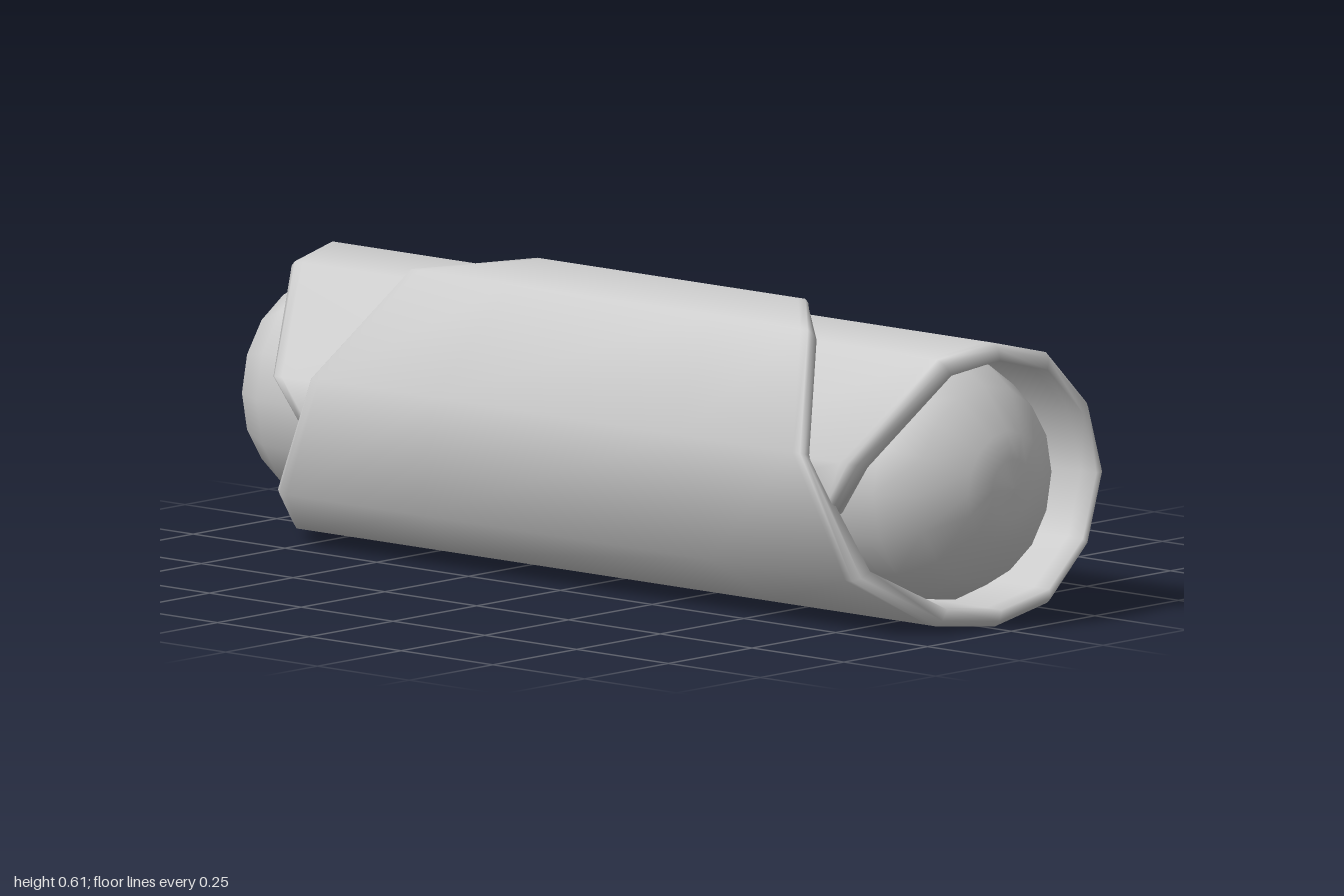
import * as THREE from 'three';

const material = new THREE.MeshStandardMaterial({ color: 0xcccccc, side: THREE.DoubleSide });

// Spiral of the rolled sheet: z, y, half width along x, thickness
const SPIRAL = [
  [0.27, 0.24, 0.71, 0.025],
  [0.29, 0.357, 0.78, 0.035],
  [0.125, 0.56, 0.875, 0.035],
  [-0.015, 0.58, 0.9, 0.033],
  [-0.155, 0.545, 0.915, 0.035],
  [-0.265, 0.43, 0.925, 0.035],
  [-0.303, 0.288, 0.93, 0.036],
  [-0.263, 0.14, 0.925, 0.035],
  [-0.16, 0.033, 0.915, 0.035],
  [-0.018, 0, 0.9, 0.036],
  [0.125, 0.015, 0.87, 0.036],
  [0.275, 0.115, 0.78, 0.033],
  [0.305, 0.367, 0.665, 0.016],
  [0.145, 0.585, 0.54, 0.022],
  [-0.04, 0.605, 0.365, 0.02],
  [-0.13, 0.578, 0.19, 0.016],
  [-0.157, 0.558, 0.03, 0.012],
];
const CENTRE_X = 0.038;

// Strip section: [distance along x, depth], a thin bar with rounded rims
function stripSection(w, t) {
  const s = Math.min(0.02, w * 0.3);
  const b = t * 0.6;
  const half = [
    [w * 0.5, 0], [w - s, 0], [w, 0], [w + b * 0.7, t * 0.35],
    [w + b, t], [w - s, t], [w * 0.5, t],
  ];
  return [...half, ...half.map(([x, d]) => [-x, d]).reverse()];
}

// Inward mitre at a spiral point
function inward(i) {
  const normal = (a, b) => new THREE.Vector2(b[1] - a[1], a[0] - b[0]).normalize();
  const last = SPIRAL.length - 1;
  const n1 = normal(SPIRAL[Math.max(i - 1, 0)], SPIRAL[Math.max(i, 1)]);
  const n2 = normal(SPIRAL[Math.min(i, last - 1)], SPIRAL[Math.min(i + 1, last)]);
  const n = n1.clone().add(n2).normalize();
  return n.multiplyScalar(-1 / n.dot(n1));
}

function rolledSheet() {
  const positions = [];
  const index = [];
  let m = 0;
  SPIRAL.forEach(([z, y, w, t], i) => {
    const n = inward(i);
    const ring = stripSection(w, t);
    m = ring.length;
    ring.forEach(([x, d]) => positions.push(CENTRE_X + x, y + n.y * d, z + n.x * d));
  });
  const rows = SPIRAL.length;
  for (let i = 0; i < rows - 1; i++) {
    for (let j = 0; j < m; j++) {
      const k = (j + 1) % m;
      const a = i * m + j, b = i * m + k, c = b + m, d = a + m;
      index.push(a, b, c, a, c, d);
    }
  }
  // Close both ends of the strip
  const end = (rows - 1) * m;
  for (let j = 1; j < m - 1; j++) {
    index.push(0, j + 1, j, end, end + j, end + j + 1);
  }
  const geometry = new THREE.BufferGeometry();
  geometry.setAttribute('position', new THREE.Float32BufferAttribute(positions, 3));
  geometry.setIndex(index);
  geometry.computeVertexNormals();
  return geometry;
}

// Filling: a long round core with domed ends, lying along x
function fillingCore() {
  const dome = [[0, 1], [0.06, 0.995], [0.115, 0.98], [0.2, 0.92], [0.245, 0.84], [0.257, 0.72]];
  const profile = [
    ...dome.map(([r, x]) => new THREE.Vector2(r, -x)),
    ...dome.map(([r, x]) => new THREE.Vector2(r, x)).reverse(),
  ];
  return new THREE.LatheGeometry(profile, 16).rotateZ(-Math.PI / 2).translate(0, 0.29, -0.008);
}

export function createModel() {
  const group = new THREE.Group();
  group.name = 'wrap';
  const parts = { rolledSheet: rolledSheet(), filling: fillingCore() };
  for (const [name, geometry] of Object.entries(parts)) {
    const mesh = new THREE.Mesh(geometry, material);
    mesh.name = name;
    group.add(mesh);
  }
  return group;
}
